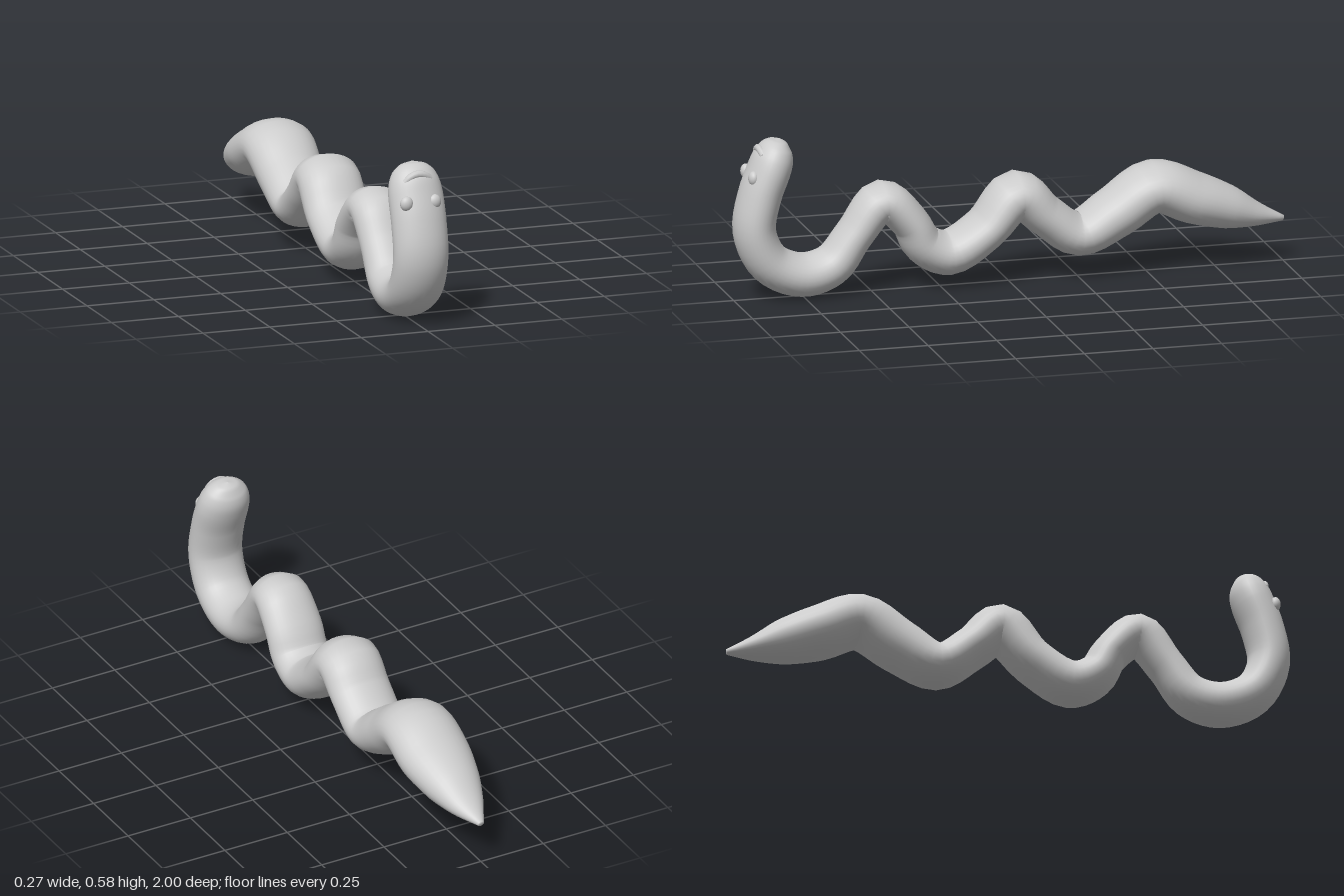
import * as THREE from 'three';

// Body stations from head to tail: z, y, half-width across x, half-thickness in the bending plane
const STATIONS = [
  [0.835, 0.583, 0, 0], [0.837, 0.574, 0.042, 0.031], [0.845, 0.55, 0.074, 0.056],
  [0.856, 0.515, 0.091, 0.071], [0.872, 0.47, 0.099, 0.075], [0.905, 0.38, 0.1, 0.075],
  [0.925, 0.25, 0.1, 0.075], [0.87, 0.132, 0.1, 0.076], [0.755, 0.08, 0.1, 0.077],
  [0.645, 0.108, 0.093, 0.073], [0.56, 0.215, 0.09, 0.066], [0.46, 0.327, 0.1, 0.073],
  [0.36, 0.245, 0.107, 0.067], [0.31, 0.16, 0.107, 0.072], [0.22, 0.122, 0.108, 0.078],
  [0.085, 0.2, 0.116, 0.074], [-0.03, 0.315, 0.116, 0.084], [-0.13, 0.235, 0.114, 0.074],
  [-0.25, 0.157, 0.114, 0.077], [-0.39, 0.225, 0.12, 0.09], [-0.53, 0.307, 0.131, 0.092],
  [-0.67, 0.257, 0.132, 0.092], [-0.8, 0.212, 0.104, 0.076], [-0.9, 0.18, 0.065, 0.043],
  [-1, 0.158, 0.012, 0.01],
];

// Elliptical rings swept along the wavy spine
function bodyGeometry(rings, sides) {
  const spine = new THREE.CatmullRomCurve3(STATIONS.map(([z, y]) => new THREE.Vector3(0, y, z)));
  const radii = new THREE.CatmullRomCurve3(
    STATIONS.map(([, , rx, rp], i) => new THREE.Vector3(rx, rp, i * 0.05)));
  const positions = [], index = [];
  for (let i = 0; i <= rings + 1; i++) {
    const t = Math.min(i / rings, 1);
    const c = spine.getPoint(t), d = spine.getTangent(t), r = radii.getPoint(t);
    if (i === 0 || i > rings) r.set(0, 0, 0); // closes both ends
    for (let j = 0; j < sides; j++) {
      const a = (j / sides) * Math.PI * 2;
      const s = Math.sin(a) * r.y;
      positions.push(Math.cos(a) * r.x, c.y - d.z * s, c.z + d.y * s);
      if (i > rings) continue;
      const k = i * sides, n = (j + 1) % sides;
      index.push(k + j, k + sides + j, k + n, k + n, k + sides + j, k + sides + n);
    }
  }
  const geometry = new THREE.BufferGeometry();
  geometry.setAttribute('position', new THREE.Float32BufferAttribute(positions, 3));
  geometry.setIndex(index);
  geometry.computeVertexNormals();
  return geometry;
}

export function createModel() {
  const group = new THREE.Group();
  const material = new THREE.MeshStandardMaterial({ color: 0xcccccc });
  const add = (name, geometry, mat = material) => {
    const mesh = new THREE.Mesh(geometry, mat);
    mesh.name = name;
    group.add(mesh);
    return mesh;
  };

  add('body', bodyGeometry(120, 32));

  // Bead eyes
  for (const [name, x] of [['leftEye', 0.046], ['rightEye', -0.058]]) {
    const eye = add(name, new THREE.SphereGeometry(0.024, 20, 14));
    eye.scale.set(1, 1.1, 0.8);
    eye.position.set(x, 0.456, 0.94);
  }

  // Arched mouth, cut off square at both ends
  const arch = new THREE.CatmullRomCurve3([
    [-0.051, 0.523, 0.902], [-0.03, 0.543, 0.907], [-0.006, 0.551, 0.908],
    [0.018, 0.547, 0.907], [0.043, 0.532, 0.902],
  ].map((p) => new THREE.Vector3(...p)));
  add('mouth', new THREE.TubeGeometry(arch, 8, 0.0135, 10));
  for (const [name, t, dir] of [['mouthRightEnd', 0, -1], ['mouthLeftEnd', 1, 1]]) {
    const cap = add(name, new THREE.CircleGeometry(0.0135, 10));
    cap.position.copy(arch.getPoint(t));
    cap.lookAt(arch.getPoint(t).addScaledVector(arch.getTangent(t), dir));
  }

  return group;
}
